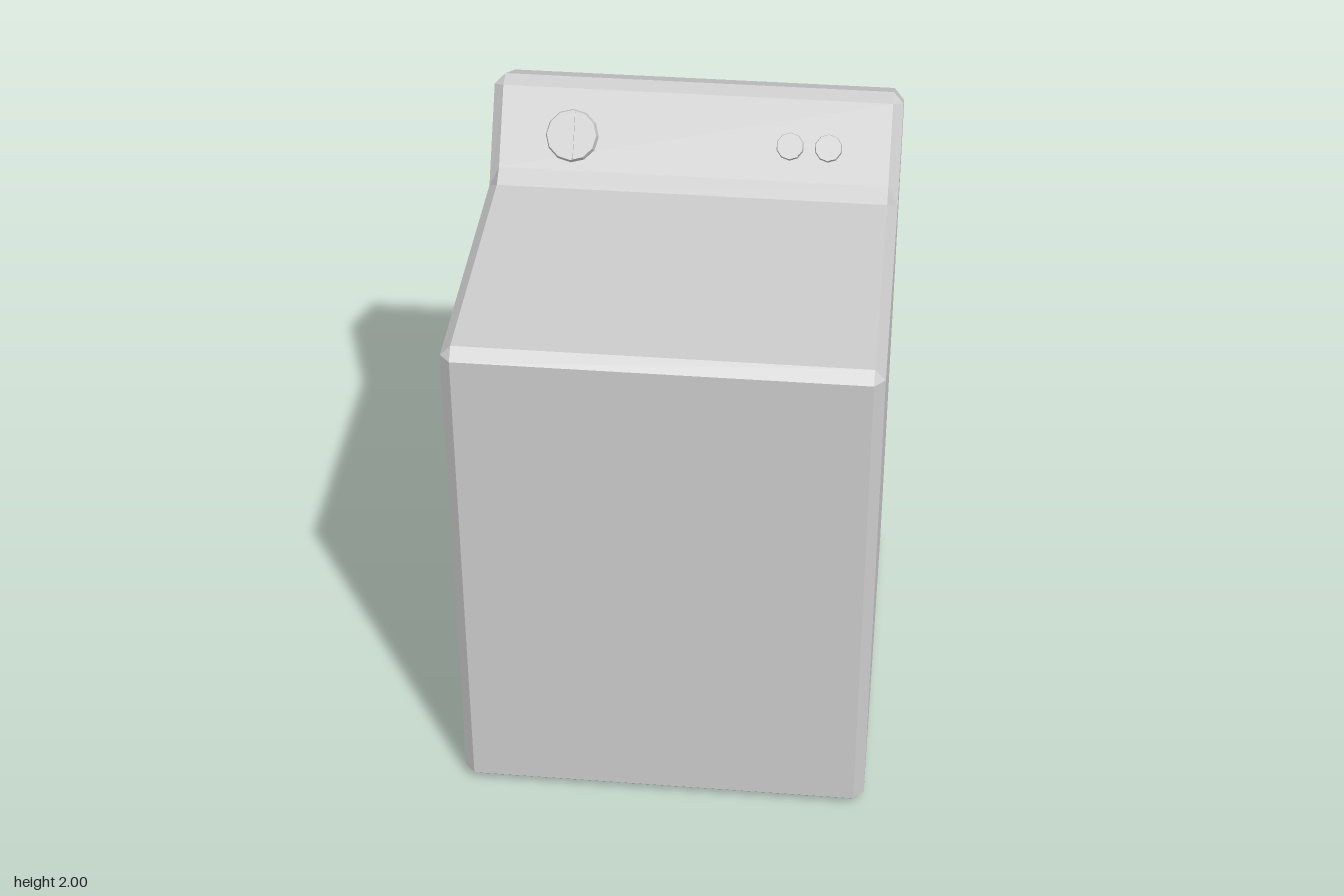
import * as THREE from 'three';

const material = new THREE.MeshStandardMaterial({ color: 0xcccccc, flatShading: true });

// Profiles as [z, y]. Each side corner matches two neighbouring shell corners.
const SIDE = [[0.675, 0.035], [0.675, 1.7], [-0.28, 1.7], [-0.465, 1.972], [-0.675, 1.865], [-0.675, 0.035]];
const SHELL = [
  [0.675, 0], [0.71, 0.035], [0.71, 1.7], [0.675, 1.735], [-0.23, 1.735], [-0.287, 1.768],
  [-0.437, 1.985], [-0.487, 2], [-0.675, 1.908], [-0.706, 1.86], [-0.706, 0.035], [-0.675, 0],
];
const SIDE_X = 0.66, SHELL_X = 0.627;

// Cabinet: shell across the width, chamfer strips, then flat sides
function cabinetGeometry() {
  const pos = [];
  const tri = (a, b, c) => pos.push(...a, ...b, ...c);
  const quad = (a, b, c, d) => { tri(a, b, c); tri(a, c, d); };
  const at = ([z, y], x) => [x, y, z];
  const n = SHELL.length;

  for (let i = 0; i < n; i++) {
    const p = SHELL[i], q = SHELL[(i + 1) % n];
    quad(at(p, -SHELL_X), at(p, SHELL_X), at(q, SHELL_X), at(q, -SHELL_X));
  }

  const flat = SIDE.map(([z, y]) => new THREE.Vector2(z, y));
  const faces = THREE.ShapeUtils.triangulateShape(flat, []);
  for (const s of [1, -1]) {
    const face = (a, b, c) => (s > 0 ? tri(a, b, c) : tri(a, c, b));
    for (let i = 0; i < n; i++) {
      const j = (i + 1) % n;
      const p = at(SHELL[i], s * SHELL_X), q = at(SHELL[j], s * SHELL_X);
      const sp = at(SIDE[i >> 1], s * SIDE_X), sq = at(SIDE[j >> 1], s * SIDE_X);
      face(p, sp, q);
      if (i % 2) face(sp, sq, q);
    }
    for (const [a, b, c] of faces) {
      const [u, v, w] = [flat[a], flat[b], flat[c]];
      const ccw = (v.x - u.x) * (w.y - u.y) - (v.y - u.y) * (w.x - u.x) > 0;
      const [A, B, C] = [a, b, c].map((k) => at(SIDE[k], s * SIDE_X));
      // +x sees z running to the left, so counter-clockwise in (z, y) is reversed
      if (ccw) face(A, C, B); else face(A, B, C);
    }
  }
  const g = new THREE.BufferGeometry();
  g.setAttribute('position', new THREE.Float32BufferAttribute(pos, 3));
  g.computeVertexNormals();
  return g;
}

// Control knob: faceted disc with a narrow grip bar, facing +z
function knob(name, radius, depth, sides, turn) {
  const group = new THREE.Group();
  group.name = name;
  const disc = new THREE.Mesh(
    new THREE.CylinderGeometry(radius * 0.93, radius, depth, sides).rotateX(Math.PI / 2), material);
  disc.name = 'knobDisc';
  disc.position.z = depth / 2;
  const grip = new THREE.Mesh(
    new THREE.BoxGeometry(radius * 0.2, radius * 1.76, depth * 0.7), material);
  grip.name = 'knobGrip';
  grip.position.z = depth;
  grip.rotation.z = turn;
  group.add(disc, grip);
  return group;
}

export function createModel() {
  const model = new THREE.Group();
  model.name = 'washingMachine';

  const cabinet = new THREE.Mesh(cabinetGeometry(), material);
  cabinet.name = 'cabinet';
  model.add(cabinet);

  // Controls lie on the sloping panel
  const controls = new THREE.Group();
  controls.name = 'controls';
  controls.position.set(0, 1.86, -0.351);
  controls.rotation.x = -Math.atan2(0.15, 0.217);
  const layout = [
    ['timerKnob', -0.395, 0.086, 0.024, 12, 0],
    ['leftSmallKnob', 0.307, 0.045, 0.02, 10, 0.85],
    ['rightSmallKnob', 0.43, 0.045, 0.02, 10, 0.25],
  ];
  for (const [name, x, radius, depth, sides, turn] of layout) {
    const k = knob(name, radius, depth, sides, turn);
    k.position.x = x;
    controls.add(k);
  }
  model.add(controls);
  return model;
}
